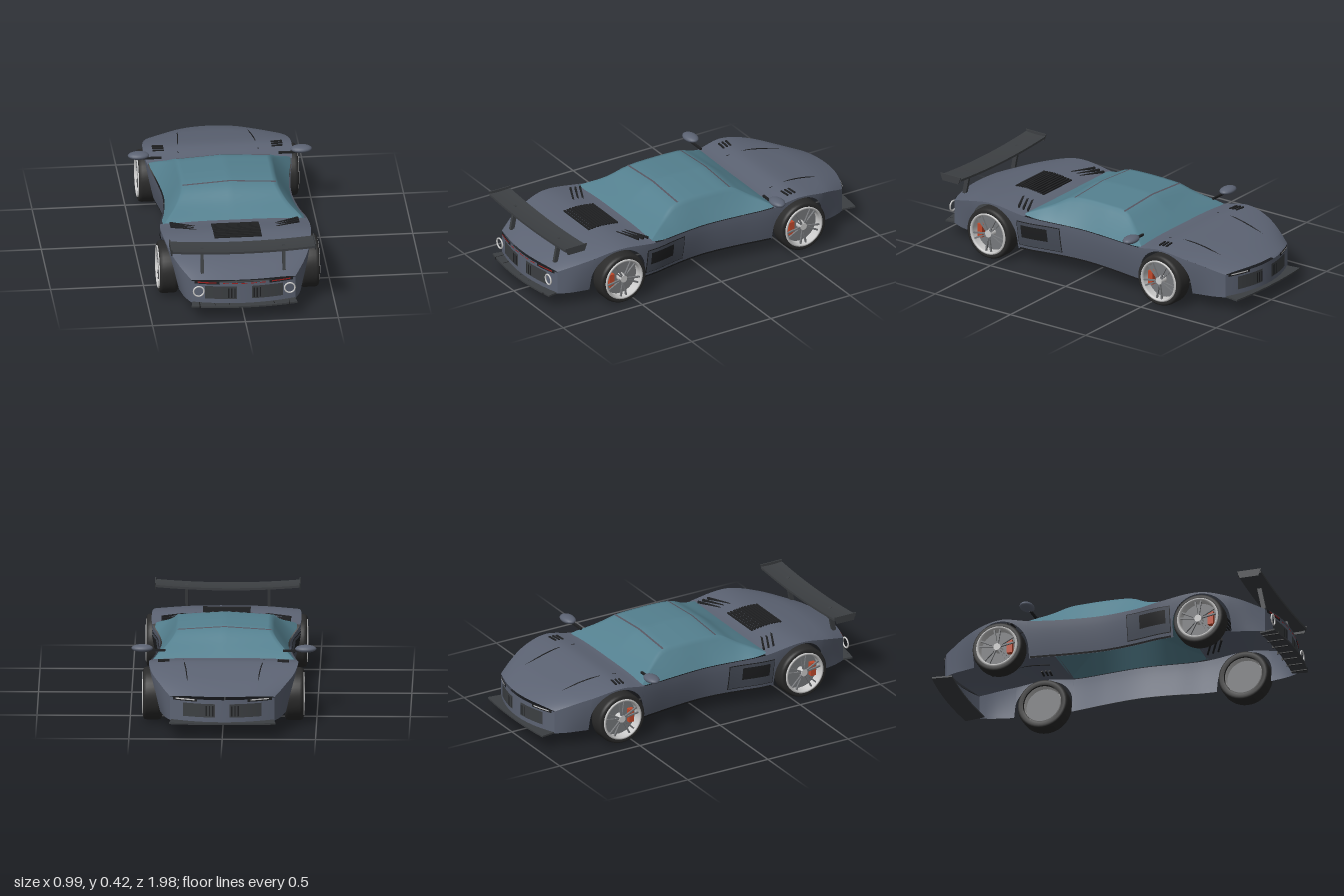
import * as THREE from 'three';

const mat = (color) => new THREE.MeshStandardMaterial({ color, side: THREE.DoubleSide });
const paint = mat(0x5c6373), glassMat = mat(0x54808f), carbon = mat(0x3c3f42), black = mat(0x1f2022),
  panelMat = mat(0x4a505c), trim = mat(0x565560), rubber = mat(0x2a2a2a), silver = mat(0xcccccc),
  steel = mat(0x77797c), red = mat(0xa02020), orange = mat(0xc04a2c);

// Smooth curve through [z, value] pairs
function curve(...p) {
  const slope = (i) => {
    const a = p[Math.max(i - 1, 0)], b = p[Math.min(i + 1, p.length - 1)];
    return (b[1] - a[1]) / (b[0] - a[0]);
  };
  return (z) => {
    let i = 0;
    while (i < p.length - 2 && z > p[i + 1][0]) i++;
    const h = p[i + 1][0] - p[i][0], t = THREE.MathUtils.clamp((z - p[i][0]) / h, 0, 1), t2 = t * t, t3 = t2 * t;
    return (2 * t3 - 3 * t2 + 1) * p[i][1] + (t3 - 2 * t2 + t) * h * slope(i)
      + (3 * t2 - 2 * t3) * p[i + 1][1] + (t3 - t2) * h * slope(i + 1);
  };
}
// Surface over u, v in 0..1
function sheet(nu, nv, fn) {
  const pos = [], idx = [];
  for (let i = 0; i <= nu; i++) for (let j = 0; j <= nv; j++) {
    pos.push(...fn(i / nu, j / nv));
    if (i < nu && j < nv) {
      const a = i * (nv + 1) + j, b = a + nv + 1;
      idx.push(a, b, a + 1, b, b + 1, a + 1);
    }
  }
  const g = new THREE.BufferGeometry();
  g.setAttribute('position', new THREE.Float32BufferAttribute(pos, 3));
  g.setIndex(idx);
  g.computeVertexNormals();
  return g;
}
const lerp = THREE.MathUtils.lerp;

// Body lines along the car (nose at -z)
const width = curve([-0.9, 0.28], [-0.82, 0.325], [-0.7, 0.378], [-0.56, 0.4], [-0.4, 0.39], [-0.2, 0.362], [0, 0.347],
  [0.18, 0.365], [0.35, 0.397], [0.55, 0.398], [0.7, 0.372], [0.8, 0.335], [0.9, 0.28]);
const shoulder = curve([-0.9, 0.21], [-0.75, 0.268], [-0.56, 0.309], [-0.4, 0.285], [-0.2, 0.276], [0.2, 0.276],
  [0.35, 0.287], [0.57, 0.309], [0.75, 0.268], [0.9, 0.212]);
const crest = curve([-0.9, 0.225], [-0.75, 0.282], [-0.56, 0.316], [-0.4, 0.295], [0.35, 0.298], [0.55, 0.317],
  [0.75, 0.283], [0.9, 0.224]);
const roofY = curve([-0.41, 0.29], [-0.32, 0.35], [-0.22, 0.413], [-0.12, 0.423], [0.08, 0.422], [0.16, 0.406],
  [0.25, 0.35], [0.36, 0.295]);
const roofW = curve([-0.41, 0.375], [-0.32, 0.31], [-0.22, 0.255], [-0.1, 0.25], [0.08, 0.25], [0.16, 0.258],
  [0.25, 0.3], [0.36, 0.37]);
const AXLES = [-0.565, 0.57], FLOOR = 0.08, ARCH = 0.158;

const deckY = (x, z) => {
  const u = Math.min(Math.abs(x) / width(z), 1);
  return lerp(shoulder(z), crest(z), 1 - u ** 4);
};
const sideX = (y, z) => {
  const t = THREE.MathUtils.clamp((y - FLOOR) / (shoulder(z) - FLOOR), 0, 1);
  const tuck = 0.035 * (1 - THREE.MathUtils.smoothstep(Math.abs(z), 0.7, 0.9));
  return width(z) - tuck * (1 - t) ** 1.5;
};
const bow = (s) => (s < 0 ? 0.07 : 0.045);
const endZ = (x, s) => s * (0.9 + bow(s) * (1 - (x / 0.28) ** 2));
const lowerEdge = (z) => {
  for (const a of AXLES) if (Math.abs(z - a) < ARCH) return 0.142 + Math.sqrt(ARCH ** 2 - (z - a) ** 2);
  return FLOOR;
};

export function createModel() {
  const car = new THREE.Group();
  car.name = 'sportsCar';
  const add = (name, geo, m, parent = car) => {
    const mesh = new THREE.Mesh(geo, m);
    mesh.name = name;
    parent.add(mesh);
    return mesh;
  };
  const bar = (name, m, size, at, turn = 0) => {
    const b = add(name, new THREE.BoxGeometry(...size), m);
    b.position.set(...at);
    b.rotation.y = turn;
    return b;
  };

  // Side stations, crowded around the wheel arches
  const stations = [];
  for (let i = 0; i <= 60; i++) stations.push(-0.9 + i * 0.03);
  for (const a of AXLES) {
    for (let k = 0; k <= 24; k++) stations.push(a - ARCH * 0.9999 * Math.cos(k * Math.PI / 24));
    stations.push(a - ARCH - 0.0005, a + ARCH + 0.0005);
  }
  stations.sort((a, b) => a - b);

  for (const s of [-1, 1]) {
    const side = s < 0 ? 'right' : 'left';
    add(side + 'BodySide', sheet(stations.length - 1, 8, (u, v) => {
      const z = stations[Math.round(u * (stations.length - 1))], y = lerp(lowerEdge(z), shoulder(z), v);
      return [s * sideX(y, z), y, z];
    }), paint);
    const sidePatch = (name, m, z0, z1, y0, y1, off) => add(name, sheet(10, 5, (u, v) => {
      const z = lerp(z0, z1, u), y = lerp(y0, y1, v);
      return [s * (sideX(y, z) + off), y, z];
    }), m);
    sidePatch(side + 'IntakeSeam', black, 0.143, 0.402, 0.106, 0.253, 0.002);
    sidePatch(side + 'IntakePanel', panelMat, 0.147, 0.398, 0.11, 0.249, 0.004);
    sidePatch(side + 'Intake', black, 0.22, 0.375, 0.158, 0.232, 0.006);
    sidePatch(side + 'Skirt', black, -0.4, 0.4, 0.08, 0.09, 0.002);

    // Bonnet crease, bonnet vents and rear quarter louvres
    const pts = [[0.19, -0.8], [0.197, -0.7], [0.207, -0.6], [0.217, -0.48]]
      .map(([x, z]) => new THREE.Vector3(s * x, deckY(x, z + (z < -0.65 ? 0.02 : 0)), z));
    add(side + 'BonnetCrease', new THREE.TubeGeometry(new THREE.CatmullRomCurve3(pts), 16, 0.003, 5), black);
    for (let k = 0; k < 3; k++) {
      const z = -0.555 + k * 0.022;
      bar(side + 'BonnetVent', black, [0.06, 0.012, 0.009], [s * 0.32, deckY(0.32, z), z], s * 0.1);
      const lz = 0.385 + k * 0.03;
      bar(side + 'RearLouvre', black, [0.155, 0.012, 0.01], [s * 0.275, deckY(0.275, lz) + 0.001, lz + 0.015], s * 0.45);
    }

    // Door mirror
    const pod = add(side + 'Mirror', new THREE.SphereGeometry(1, 20, 12), paint);
    pod.scale.set(0.058, 0.02, 0.038);
    pod.position.set(s * 0.438, 0.345, -0.39);
    bar(side + 'MirrorArm', black, [0.1, 0.01, 0.012], [s * 0.365, 0.331, -0.38]);

    // Wing strut
    const strut = add(side + 'WingStrut', new THREE.BoxGeometry(0.016, 0.14, 0.024), carbon);
    strut.position.set(s * 0.22, 0.308, 0.862);
    strut.rotation.x = -0.2;
  }

  // Bonnet and rear deck, bowed in plan at the ends
  for (const [name, z0, z1] of [['bonnet', -0.9, -0.4], ['rearDeck', 0.35, 0.9]]) {
    add(name, sheet(32, 32, (v, u) => {
      const z = lerp(z0, z1, v), k = Math.sin((u - 0.5) * Math.PI), s = Math.sign(z);
      const x = k * width(z), e = THREE.MathUtils.smoothstep(Math.abs(z), 0.62, 0.9);
      return [x, deckY(x, z), z + s * bow(s) * (1 - k * k) * e];
    }), paint);
  }

  // Glasshouse with roof seams
  const glass = (z, u, off) => {
    const base = Math.min(width(z) - 0.008, 0.38), q = Math.abs(u), s = Math.sign(u), t = (q - 0.7) / 0.3;
    const edge = roofY(z) - 0.016 * THREE.MathUtils.smoothstep(roofY(z), 0.29, 0.4);
    if (q <= 0.7) return [s * roofW(z) * q / 0.7, lerp(roofY(z), edge, q / 0.7) + off, z];
    return [s * lerp(roofW(z), base, t), lerp(edge, shoulder(z), t) + off, z];
  };
  add('glasshouse', sheet(36, 40, (v, u) => glass(lerp(-0.41, 0.36, v), u * 2 - 1, 0)), glassMat);
  for (const z of [-0.208, 0.122])
    add('roofSeam', sheet(1, 16, (v, u) => glass(z + (v - 0.5) * 0.01, (u - 0.5) * 1.4, 0.002)), trim);

  // Engine cover slats
  for (let k = 0; k < 11; k++) {
    const z = 0.425 + k * 0.0175;
    bar('engineSlat', black, [0.255, 0.01, 0.011], [0, crest(z) + 0.002, z]);
  }

  // Nose and tail panels with grilles and lamps
  for (const s of [-1, 1]) {
    const end = s < 0 ? 'front' : 'rear';
    const patch = (name, m, x0, x1, y0, y1, off) => add(name, sheet(12, 2, (u, v) => {
      const x = lerp(x0, x1, u);
      return [x, lerp(y0, y1, v), endZ(x, s) + s * off];
    }), m);
    patch(end + 'Panel', paint, -0.28, 0.28, FLOOR, 0.208, 0);
    for (const m of [-1, 1]) {
      patch(end + 'Grille', carbon, m * 0.04, m * 0.21, 0.112, 0.186, 0.003);
      for (let k = 0; k < 3; k++)
        patch(end + 'GrilleSlat', black, m * (0.048 + k * 0.017), m * (0.055 + k * 0.017), 0.12, 0.176, 0.007);
      patch(end + 'LampHousing', black, m * 0.135, m * 0.265, 0.196, 0.214, 0.003);
      patch(end + 'Lamp', s < 0 ? silver : red, m * 0.15, m * 0.25, 0.203, 0.21, 0.006);
    }
    if (s > 0) {
      for (let k = -2; k <= 2; k++) patch('lightStrip', red, k * 0.05 - 0.016, k * 0.05 + 0.016, 0.201, 0.206, 0.004);
      for (const m of [-1, 1]) {
        const ring = add('tailRing', new THREE.TorusGeometry(0.028, 0.0045, 8, 28), silver);
        ring.position.set(m * 0.245, 0.16, 0.935);
      }
    }
    // Lower lip
    const [corner, tip] = s < 0 ? [0.98, 1.015] : [0.955, 1.015];
    const lip = new THREE.Shape();
    lip.moveTo(-0.27, 0.87);
    lip.lineTo(-0.285, corner);
    lip.quadraticCurveTo(0, tip, 0.285, corner);
    lip.lineTo(0.27, 0.87);
    lip.quadraticCurveTo(0, 0.9, -0.27, 0.87);
    const plate = add(end + 'Lip', new THREE.ExtrudeGeometry(lip, { depth: 0.009, bevelEnabled: false, curveSegments: 20 }), carbon);
    plate.rotation.set(Math.PI / 2, 0, s < 0 ? Math.PI : 0);
    plate.position.y = 0.086;
  }
  for (let k = -3; k <= 3; k++) bar('diffuserFin', black, [0.006, 0.014, 0.09], [k * 0.08, 0.079, 0.92]);

  // Rear wing, sagging towards the middle
  const wing = new THREE.BoxGeometry(0.77, 0.012, 0.13, 24, 1, 6), wp = wing.attributes.position;
  for (let i = 0; i < wp.count; i++) {
    const x = wp.getX(i) / 0.385, z = wp.getZ(i) / 0.065;
    wp.setY(i, wp.getY(i) + 0.017 * x * x + 0.004 * z * z);
  }
  wing.computeVertexNormals();
  add('rearWing', wing, carbon).position.set(0, 0.364, 0.848);
  const fin = new THREE.Shape([[0.78, 0.402], [0.915, 0.402], [0.9, 0.362], [0.795, 0.362]].map(([z, y]) => new THREE.Vector2(-z, y)));
  for (const s of [-1, 1]) {
    const plate = add('wingEndPlate', new THREE.ExtrudeGeometry(fin, { depth: 0.006, bevelEnabled: false }), carbon);
    plate.rotation.y = Math.PI / 2;
    plate.position.x = s * 0.387 - 0.003;
  }

  // Wheels
  const ring = (pts) => new THREE.LatheGeometry(pts.map(([r, h]) => new THREE.Vector2(r, h)), 40);
  const tyre = ring([[0.108, -0.046], [0.128, -0.05], [0.138, -0.044], [0.142, -0.03], [0.142, 0.03], [0.138, 0.044], [0.128, 0.05], [0.108, 0.046]]);
  const rim = ring([[0.102, -0.045], [0.102, 0.042], [0.106, 0.054], [0.115, 0.054], [0.117, 0.046]]);
  for (const z of AXLES) for (const s of [-1, 1]) {
    const wheel = new THREE.Group();
    wheel.name = (z < 0 ? 'front' : 'rear') + (s < 0 ? 'Right' : 'Left') + 'Wheel';
    wheel.position.set(s * 0.38, 0.142, z);
    wheel.rotation.z = -s * Math.PI / 2;
    add('tyre', tyre, rubber, wheel);
    add('rim', rim, silver, wheel);
    add('brakeDisc', new THREE.CylinderGeometry(0.101, 0.101, 0.012, 32), steel, wheel);
    add('hub', new THREE.CylinderGeometry(0.02, 0.024, 0.05, 16), silver, wheel).position.y = 0.022;
    const caliper = add('caliper', new THREE.BoxGeometry(0.075, 0.03, 0.03), orange, wheel);
    caliper.position.set(0, 0.018, 0.066);
    for (let k = 0; k < 10; k++) {
      const a = Math.floor(k / 2) * Math.PI * 0.4 + (k % 2 ? 0.16 : -0.16);
      const spoke = add('spoke', new THREE.BoxGeometry(0.09, 0.01, 0.008), steel, wheel);
      spoke.position.set(Math.cos(a) * 0.06, 0.04, -Math.sin(a) * 0.06);
      spoke.rotation.y = a;
    }
    car.add(wheel);
  }
  return car;
}
